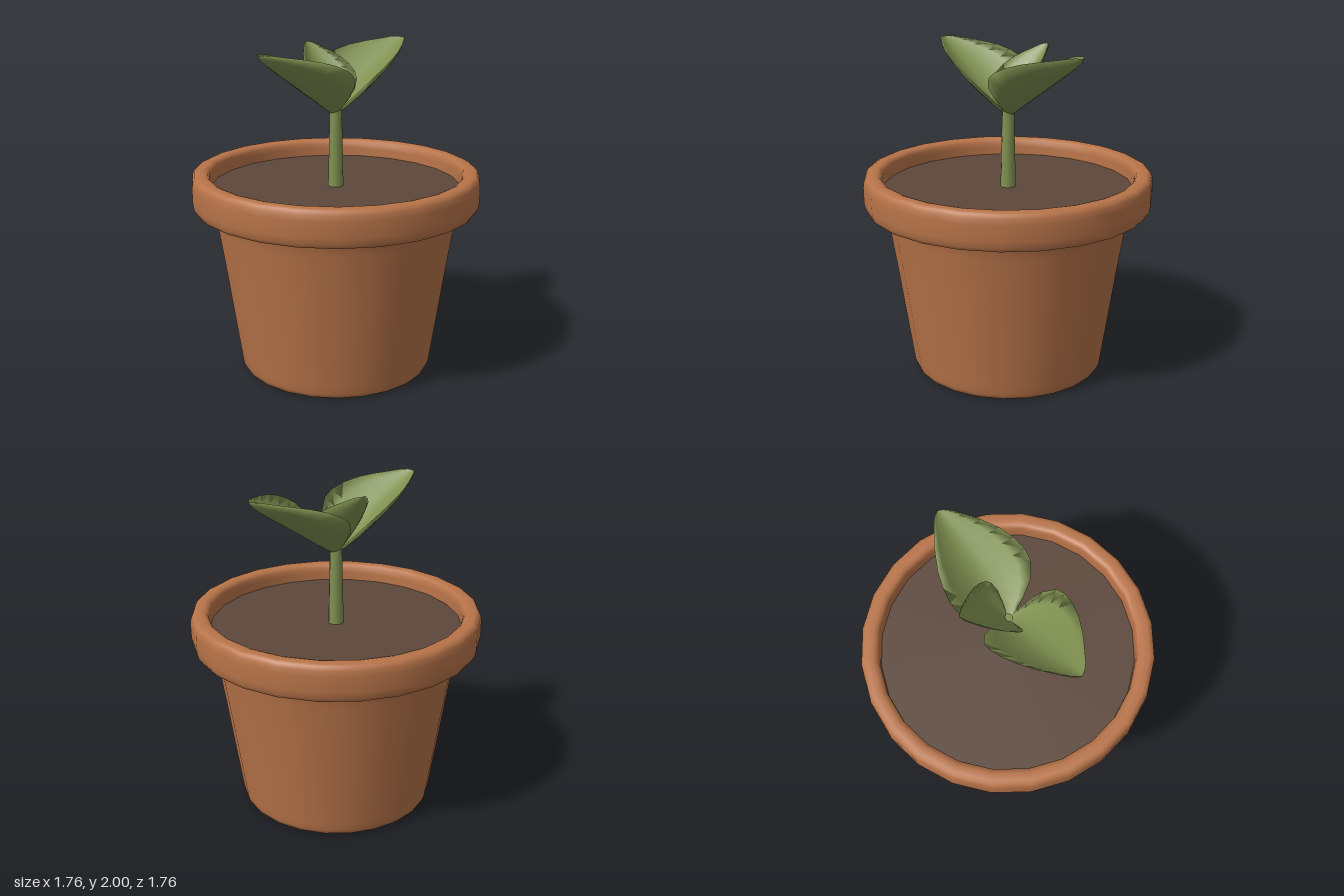
import * as THREE from 'three';

const terracotta = new THREE.MeshStandardMaterial({ color: 0xb87449 });
terracotta.name = 'terracotta';
const earth = new THREE.MeshStandardMaterial({ color: 0x5c473b });
earth.name = 'earth';
const green = new THREE.MeshStandardMaterial({ color: 0x7f9050 });
green.name = 'leafGreen';

const SIDES = 24;

function part(name, geometry, material) {
  const mesh = new THREE.Mesh(geometry, material);
  mesh.name = name;
  return mesh;
}

// Cupped leaf along +x with its upper side facing +y; closed thin cross-sections
function leafGeometry() {
  const length = 0.72, across = 8, thickness = 0.02;
  // position along the leaf, half width
  const stations = [
    [0, 0.025], [0.05, 0.075], [0.1, 0.122], [0.2, 0.2], [0.32, 0.247], [0.42, 0.255], [0.54, 0.24],
    [0.66, 0.207], [0.78, 0.155], [0.88, 0.1], [0.95, 0.06], [0.985, 0.03], [1, 0.001],
  ];
  const ring = across * 2;
  const positions = [], indices = [];
  stations.forEach(([t, w], i) => {
    for (let j = 0; j < ring; j++) {
      const under = j > across;
      const u = (under ? ring - j : j) / across * 2 - 1;
      const lift = 0.65 * (1 - 0.35 * t * t) * w * Math.pow(Math.abs(u), 1.6);
      const drop = under ? thickness * (1 - u ** 4) * Math.min(1, w / 0.08) : 0;
      positions.push(t * length, lift - drop, u * w);
      if (i === stations.length - 1) continue;
      const a = i * ring + j, c = i * ring + (j + 1) % ring;
      indices.push(a, c, a + ring, c, c + ring, a + ring);
    }
  });
  const geometry = new THREE.BufferGeometry();
  geometry.setAttribute('position', new THREE.Float32BufferAttribute(positions, 3));
  geometry.setIndex(indices);
  geometry.computeVertexNormals();
  return geometry;
}

export function createModel() {
  const model = new THREE.Group();
  model.name = 'pottedSeedling';

  // Pot: base, tapered wall, overhanging rounded rim and inner lip
  const profile = [
    [0, 0], [0.545, 0], [0.57, 0.003], [0.59, 0.014], [0.599, 0.04], [0.605, 0.08],
    [0.651, 0.4], [0.686, 0.65], [0.73, 0.94], [0.742, 1.0], [0.752, 1.016], [0.775, 1.028],
    [0.835, 1.03], [0.858, 1.038], [0.87, 1.06], [0.877, 1.1], [0.878, 1.19],
    [0.873, 1.225], [0.862, 1.246], [0.842, 1.255], [0.802, 1.255],
    [0.78, 1.248], [0.769, 1.23], [0.765, 1.2], [0.762, 1.1],
  ].map(([r, y]) => new THREE.Vector2(r, y));
  model.add(part('pot', new THREE.LatheGeometry(profile, SIDES), terracotta));

  // Soil disc just below the rim
  const soil = part('soil', new THREE.CircleGeometry(0.768, SIDES), earth);
  soil.rotation.set(-Math.PI / 2, 0, Math.PI / 2);
  soil.position.y = 1.15;
  model.add(soil);

  // Stem
  const stem = part('stem', new THREE.CylinderGeometry(0.036, 0.047, 0.48, 12), green);
  stem.position.y = 1.38;
  model.add(stem);

  // Two broad leaves and a smaller, steeper one
  const blade = leafGeometry();
  const leaves = [
    ['leftLeaf', 45, 33.5, 1],
    ['rightLeaf', 225, 33.5, 1],
    ['smallLeaf', 127, 54, 0.68],
  ];
  for (const [name, yaw, pitch, size] of leaves) {
    const leaf = part(name, blade, green);
    leaf.rotation.set(0, THREE.MathUtils.degToRad(yaw), THREE.MathUtils.degToRad(pitch));
    leaf.scale.setScalar(size);
    leaf.position.y = 1.6;
    model.add(leaf);
  }
  return model;
}
